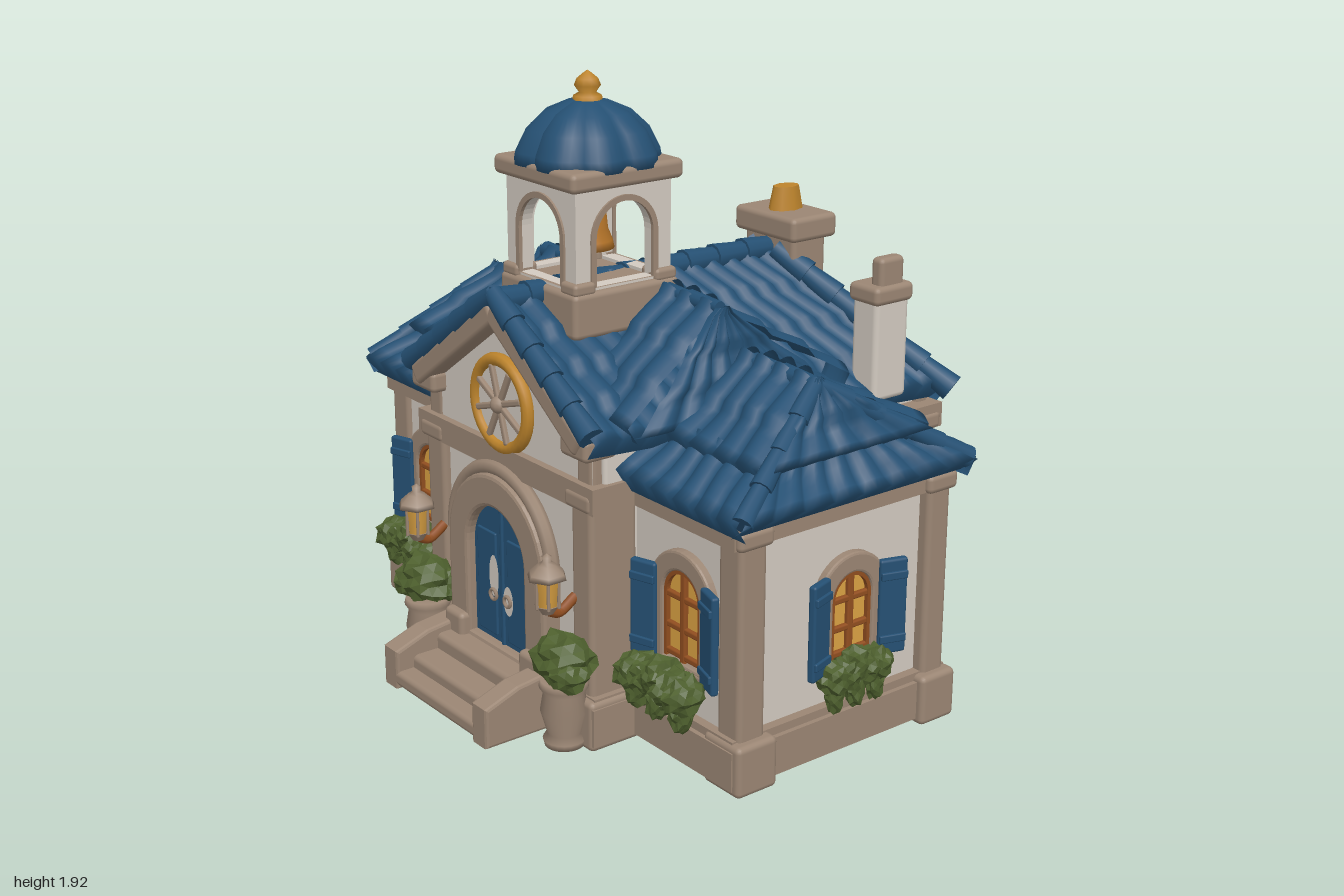
import * as THREE from 'three';
import { RoundedBoxGeometry } from 'three/addons/geometries/RoundedBoxGeometry.js';

const mat = (name, color, side = THREE.FrontSide) => {
  const m = new THREE.MeshStandardMaterial({ color, side });
  m.name = name;
  return m;
};
const stone = mat('stone', 0x9b8674), wall = mat('plaster', 0xd2cac0), blue = mat('blue', 0x255073, THREE.DoubleSide);
const gold = mat('gold', 0xbd842c), glow = mat('window glow', 0xdba243), wood = mat('wood', 0x914e20), green = mat('leaves', 0x4e602e);
const bronze = mat('bronze', 0xb37328);

function add(parent, name, geo, material, x = 0, y = 0, z = 0) {
  const m = new THREE.Mesh(geo, material);
  m.name = name;
  m.position.set(x, y, z);
  parent.add(m);
  return m;
}
const box = (p, name, material, w, h, d, x, y, z) =>
  add(p, name, new RoundedBoxGeometry(w, h, d, 2, Math.min(0.018, w / 3, h / 3, d / 3)), material, x, y, z);
const lathe = (pts, seg = 20) => new THREE.LatheGeometry(pts.map(p => new THREE.Vector2(...p)), seg);
const extrude = (shape, depth, bevel = 0) => new THREE.ExtrudeGeometry(shape, {
  depth, curveSegments: 10, bevelEnabled: bevel > 0, bevelThickness: bevel, bevelSize: bevel, bevelSegments: 2 });
const polygon = pts => new THREE.Shape(pts.map(p => new THREE.Vector2(...p)));
const V = (...a) => new THREE.Vector3(...a);
function group(parent, name, x = 0, y = 0, z = 0, rot = 0) {
  const g = new THREE.Group();
  g.name = name;
  g.position.set(x, y, z);
  g.rotation.y = rot;
  parent.add(g);
  return g;
}

// Round-topped opening standing on y0
function arch(w, h, y0 = 0) {
  const s = new THREE.Shape(), r = w / 2;
  s.moveTo(-r, y0);
  s.lineTo(r, y0);
  s.lineTo(r, y0 + h - r);
  s.absarc(0, y0 + h - r, r, 0, Math.PI, false);
  s.closePath();
  return s;
}
function archFrame(w, h, t) {
  const s = arch(w + 2 * t, h + t);
  s.holes.push(arch(w, h));
  return s;
}

// House footprint, inset by d
function outline(d) {
  const half = [[0.43, 0.53], [0.43, 0.38], [0.875, 0.38], [0.875, -0.4], [0.48, -0.4], [0.48, -0.75]]
    .map(([x, z]) => [x - d, z - Math.sign(z) * d]);
  return [...half, ...half.map(([x, z]) => [-x, z]).reverse()].map(([x, z]) => new THREE.Vector2(x, -z));
}
function ring(p, name, material, outer, inner, y, h) {
  const s = new THREE.Shape(outline(outer));
  s.holes.push(new THREE.Path(outline(inner)));
  add(p, name, extrude(s, h).rotateX(-Math.PI / 2), material, 0, y, 0);
}

// Rippled tile slope: eave a-b, ridge d-c
function slope(p, name, a, b, c, d, cols, rows) {
  let n = b.clone().sub(a).cross(d.clone().sub(a));
  if (n.y < 0) { [a, b, c, d] = [b, a, d, c]; n.negate(); }
  n.normalize();
  const nu = cols * 6, nv = rows * 5, pos = [], idx = [];
  for (let j = -1; j <= nv; j++) for (let i = 0; i <= nu; i++) {
    const u = i / nu, v = Math.max(j, 0) / nv, f = (v * rows) % 1;
    const lift = j < 0 ? -0.045 : 0.022 * Math.abs(Math.sin(Math.PI * u * cols)) + 0.016 * (1 - f) + 0.006 * Math.sin(7 * u + 5 * v);
    const q = a.clone().lerp(b, u).lerp(d.clone().lerp(c, u), v).addScaledVector(n, lift);
    pos.push(q.x, q.y, q.z);
    if (j < nv && i < nu) {
      const k = (j + 1) * (nu + 1) + i, l = k + nu + 1;
      idx.push(k, k + 1, l + 1, k, l + 1, l);
    }
  }
  const g = new THREE.BufferGeometry();
  g.setAttribute('position', new THREE.Float32BufferAttribute(pos, 3));
  g.setIndex(idx);
  g.computeVertexNormals();
  add(p, name, g, blue);
}
// Row of overlapping cap tiles along a roof edge
function caps(p, a, b, r = 0.038) {
  const len = a.distanceTo(b), count = Math.max(2, Math.round(len / 0.12)), dir = b.clone().sub(a).normalize();
  for (let i = 0; i < count; i++) {
    const m = add(p, 'capTile', new THREE.CylinderGeometry(r * 0.85, r * 1.12, len / count * 1.12, 10), blue);
    m.position.copy(a).lerp(b, (i + 0.5) / count);
    m.quaternion.setFromUnitVectors(V(0, 1, 0), dir);
  }
}

// Faceted leafy clump
function leaves(p, x, y, z, sx, sy, sz, seed) {
  const g = new THREE.IcosahedronGeometry(1, 2), q = g.attributes.position, v = V();
  for (let i = 0; i < q.count; i++) {
    v.fromBufferAttribute(q, i);
    v.multiplyScalar(1 + 0.17 * Math.sin(v.x * 7 + seed) * Math.sin(v.y * 8 + seed * 2) + 0.1 * Math.sin(v.z * 9 + seed));
    q.setXYZ(i, v.x * sx, v.y * sy, v.z * sz);
  }
  g.computeVertexNormals();
  add(p, 'leaves', g, green, x, y, z);
}

// Arched window facing +z; a plant depth above 0 adds shutters and hanging plants
function windowAt(p, name, w, h, x, y, z, rot, plant = 0) {
  const g = group(p, name, x, y, z, rot), t = h < 0.2 ? 0.026 : 0.02;
  add(g, 'surround', extrude(archFrame(w, h, 0.045), 0.02, 0.008), stone);
  add(g, 'innerFrame', extrude(archFrame(w - 2 * t, h - t, t), 0.02), wood);
  add(g, 'pane', extrude(arch(w, h), 0.006), glow);
  add(g, 'innerPane', extrude(arch(w, h), 0.006), glow, 0, 0, -0.047);
  box(g, 'mullion', wood, 0.024, h, 0.02, 0, h / 2, 0.01);
  for (const k of h < 0.2 ? [0.5] : [0.08, 0.36, 0.68]) box(g, 'bar', wood, w, 0.02, 0.018, 0, h * k, 0.01);
  box(g, 'sill', stone, w + 0.1, 0.035, 0.045, 0, -0.015, 0.008);
  if (!plant) return;
  for (const s of [-1, 1]) {
    const sh = group(g, 'shutter', s * (w / 2 + 0.058), 0.135, 0.04, -s * 0.3);
    box(sh, 'shutterBoard', blue, 0.09, 0.3, 0.025, 0, 0, 0);
    for (const k of [-1, 1]) box(sh, 'batten', blue, 0.085, 0.025, 0.012, 0, k * 0.1, 0.014);
  }
  const spread = 0.035 + plant * 0.2, deep = 0.025 + plant * 0.45;
  for (let i = -2; i <= 2; i++) {
    leaves(g, i * spread, -0.02 + 0.015 * Math.cos(i * 2), plant, 0.05, 0.055, deep, i + 3);
    if (i % 2 === 0) leaves(g, i * spread * 0.9, -0.09, plant, 0.03, 0.055, deep * 0.6, i + 7);
  }
}

function buildWalls(h) {
  ring(h, 'walls', wall, 0, 0.04, 0.05, 0.78);
  ring(h, 'plinth', stone, -0.045, 0.04, 0.03, 0.12);
  ring(h, 'plinthLip', stone, -0.03, 0.03, 0.15, 0.025);
  ring(h, 'cornice', stone, -0.035, 0.03, 0.755, 0.08);
  for (const s of [-1, 1]) {
    box(h, 'upperWall', wall, 0.04, 0.16, 1.24, s * 0.43, 0.88, -0.11);
    // Corner posts: x, z, width, depth
    for (const [x, z, w, d] of [[0.39, 0.47, 0.1, 0.17], [0.865, 0.345, 0.1, 0.1], [0.865, -0.375, 0.1, 0.09], [0.47, -0.73, 0.07, 0.07]]) {
      box(h, 'cornerPost', stone, w, 0.78, d, s * x, 0.42, z);
      box(h, 'postFoot', stone, w + 0.06, 0.16, d + 0.05, s * x, 0.09, z);
      box(h, 'postHead', stone, w + 0.03, 0.06, d + 0.03, s * x, 0.78, z);
    }
  }
  box(h, 'rearUpperWall', stone, 0.94, 0.1, 0.05, 0, 0.86, -0.74);
  // Front gable
  const gable = polygon([[-0.43, 0.8], [0.43, 0.8], [0.43, 0.96], [0, 1.26], [-0.43, 0.96]]);
  add(h, 'gableWall', extrude(gable, 0.05), wall, 0, 0, 0.49);
  for (const s of [-1, 1]) {
    const b = box(h, 'gableBoard', stone, 0.54, 0.075, 0.09, s * 0.215, 1.11, 0.555);
    b.rotation.z = -s * 0.61;
    box(h, 'gableFoot', stone, 0.13, 0.07, 0.12, s * 0.4, 0.95, 0.53);
    box(h, 'gablePost', stone, 0.08, 0.15, 0.13, s * 0.395, 0.88, 0.48);
  }
}

function buildRoof(h) {
  const rz = 0.03; // wing ridge depth
  for (const s of [-1, 1]) {
    // Main roof with a hipped rear end
    slope(h, 'mainSlope', V(s * 0.49, 0.97, 0.58), V(s * 0.52, 0.89, -0.78), V(0, 1.29, -0.48), V(0, 1.29, 0.58), 14, 4);
    caps(h, V(s * 0.56, 0.9, -0.77), V(s * 0.05, 1.29, -0.48), 0.04);
    caps(h, V(s * 0.47, 1.0, 0.575), V(0, 1.31, 0.575), 0.035);
    // Cross roof end
    slope(h, 'crossEnd', V(s * 0.52, 0.98, 0.45), V(s * 0.52, 0.98, -0.32), V(s * 0.43, 1.28, 0.06), V(s * 0.43, 1.28, 0.1), 6, 3);
    for (const z of [0.47, -0.36])
      slope(h, 'crossSlope', V(0, 1.02, z), V(s * 0.52, 1.0, z), V(s * 0.43, 1.28, 0.08), V(0, 1.28, 0.08), 5, 3);
    // Two-tier hipped wing roof
    for (const k of [-1, 1]) {
      slope(h, 'wingUpper', V(s * 0.4, 0.95, k * 0.32), V(s * 0.9, 0.95, k * 0.32), V(s * 0.79, 1.14, rz), V(s * 0.4, 1.14, rz), 5, 2);
      slope(h, 'wingEave', V(s * 0.4, 0.84, k * 0.45), V(s * 0.97, 0.84, k * 0.45), V(s * 0.88, 0.96, k * 0.26), V(s * 0.4, 0.96, k * 0.26), 6, 1);
      caps(h, V(s * 0.96, 0.86, k * 0.43), V(s * 0.8, 1.13, rz), 0.03);
    }
    slope(h, 'wingHip', V(s * 0.91, 0.95, 0.32), V(s * 0.91, 0.95, -0.32), V(s * 0.79, 1.14, rz - 0.01), V(s * 0.79, 1.14, rz + 0.01), 5, 2);
    slope(h, 'wingHipEave', V(s * 0.97, 0.84, 0.45), V(s * 0.97, 0.84, -0.45), V(s * 0.87, 0.96, -0.27), V(s * 0.87, 0.96, 0.27), 8, 1);
    caps(h, V(s * 0.42, 1.13, rz), V(s * 0.8, 1.13, rz), 0.028);
  }
  slope(h, 'rearHip', V(-0.53, 0.88, -0.78), V(0.53, 0.88, -0.78), V(0.05, 1.29, -0.48), V(-0.05, 1.29, -0.48), 9, 4);
  caps(h, V(0, 1.29, 0.58), V(0, 1.29, -0.5), 0.04);
  caps(h, V(-0.43, 1.28, 0.08), V(0.43, 1.28, 0.08), 0.025);
  // Chimneys
  box(h, 'rearChimney', stone, 0.24, 0.26, 0.14, 0.01, 1.23, -0.55);
  box(h, 'rearChimneyCap', stone, 0.29, 0.08, 0.19, 0.01, 1.37, -0.55);
  const pot = add(h, 'rearChimneyPot', new THREE.CylinderGeometry(0.048, 0.065, 0.08, 8), gold, 0.01, 1.445, -0.55);
  pot.scale.x = 0.7;
  box(h, 'sideChimney', wall, 0.11, 0.34, 0.14, 0.48, 1.07, -0.53);
  box(h, 'sideChimneyCap', stone, 0.13, 0.06, 0.16, 0.48, 1.24, -0.53);
  box(h, 'sideChimneyPot', stone, 0.05, 0.11, 0.1, 0.505, 1.3, -0.53);
}

function buildTower(h) {
  const t = group(h, 'bellTower', 0, 0, 0.23);
  box(t, 'towerBase', stone, 0.39, 0.14, 0.39, 0, 1.25, 0);
  for (let i = 0; i < 4; i++) {
    const g = group(t, 'towerSide', 0, 0, 0, i * Math.PI / 2);
    const s = polygon([[-0.175, 1.31], [0.175, 1.31], [0.175, 1.64], [-0.175, 1.64]]);
    s.holes.push(arch(0.22, 0.25, 1.33));
    add(g, 'archedPanel', extrude(s, 0.045), wall, 0, 0, 0.13);
    add(g, 'archTrim', extrude(archFrame(0.21, 0.245, 0.018), 0.012), stone, 0, 1.33, 0.17);
    box(g, 'towerFoot', stone, 0.08, 0.04, 0.08, 0.15, 1.33, 0.15);
  }
  box(t, 'towerCornice', stone, 0.41, 0.06, 0.41, 0, 1.65, 0);
  // Lobed dome, slightly square at the eave
  const dome = lathe([[0.17, 1.655], [0.212, 1.665], [0.206, 1.7], [0.175, 1.765], [0.125, 1.815], [0.06, 1.845], [0, 1.855]], 64);
  const q = dome.attributes.position;
  for (let i = 0; i < q.count; i++) {
    const x = q.getX(i), z = q.getZ(i), a = Math.atan2(z, x), k = 0.92 + 0.1 * Math.abs(Math.sin(4 * a)) + 0.06 * Math.sin(2 * a) ** 2;
    q.setXYZ(i, x * k, q.getY(i), z * k);
  }
  dome.computeVertexNormals();
  add(t, 'dome', dome, blue);
  add(t, 'finial', lathe([[0.045, 1.835], [0.043, 1.86], [0.026, 1.87], [0.04, 1.89], [0.032, 1.91], [0.014, 1.925], [0, 1.935]], 10), gold);
  add(t, 'bell', lathe([[0, 1.41], [0.06, 1.41], [0.077, 1.4], [0.072, 1.425], [0.058, 1.46], [0.052, 1.52], [0.037, 1.55], [0, 1.56]]), bronze);
  add(t, 'clapper', new THREE.SphereGeometry(0.02, 10, 8), bronze, 0, 1.39, 0);
  box(t, 'bellBeam', wood, 0.28, 0.025, 0.03, 0, 1.57, 0);
}

function buildEntrance(h) {
  // Round window
  const r = group(h, 'roundWindow', -0.01, 0.965, 0.55);
  add(r, 'ring', new THREE.TorusGeometry(0.137, 0.021, 10, 36), gold);
  add(r, 'disc', new THREE.CylinderGeometry(0.13, 0.13, 0.008, 32).rotateX(Math.PI / 2), wall);
  for (let i = 0; i < 4; i++) box(r, 'spoke', stone, 0.25, 0.02, 0.02, 0, 0, 0.008).rotation.z = i * Math.PI / 4 + 0.3;
  add(r, 'hub', new THREE.SphereGeometry(0.028, 12, 8), stone, 0, 0, 0.01);
  // Double door and surround
  const d = group(h, 'frontDoor', -0.01, 0.17, 0.53);
  add(d, 'doorSurround', extrude(archFrame(0.33, 0.48, 0.08), 0.05, 0.012), stone);
  add(d, 'innerSurround', extrude(archFrame(0.33, 0.48, 0.05), 0.02), stone, 0, 0, -0.06);
  add(d, 'doorHood', new THREE.TorusGeometry(0.265, 0.024, 8, 28, Math.PI), stone, 0, 0.325, 0.03);
  add(d, 'doorLeaves', extrude(arch(0.34, 0.485), 0.08), blue, 0, 0, -0.05);
  box(d, 'doorSeam', blue, 0.016, 0.46, 0.015, 0, 0.23, 0.03);
  for (const s of [-1, 1]) {
    box(d, 'doorPanel', blue, 0.1, 0.34, 0.014, s * 0.08, 0.2, 0.03);
    const plate = add(d, 'handlePlate', new THREE.CircleGeometry(0.026, 14), wall, s * 0.038, 0.2 - s * 0.03, 0.0385);
    plate.scale.y = 2.3 - s * 0.4;
    add(d, 'handle', new THREE.TorusGeometry(0.017, 0.006, 6, 12), stone, s * 0.038, 0.17, 0.042);
    box(d, 'surroundFoot', stone, 0.1, 0.1, 0.1, s * 0.205, 0.02, 0.04);
  }
  // Steps
  box(h, 'landing', stone, 0.48, 0.14, 0.14, -0.015, 0.1, 0.6);
  box(h, 'middleStep', stone, 0.48, 0.09, 0.14, -0.015, 0.075, 0.69);
  box(h, 'bottomStep', stone, 0.48, 0.05, 0.12, -0.015, 0.055, 0.76);
  const cheek = polygon([[-0.55, 0.03], [-0.81, 0.03], [-0.81, 0.14], [-0.7, 0.18], [-0.55, 0.2]]);
  for (const s of [-1, 1]) {
    add(h, 'stepCheek', extrude(cheek, 0.06, 0.01).rotateY(Math.PI / 2), stone, s * 0.25 - 0.045, 0, 0);
    // Potted shrubs
    const p = group(h, 'pottedShrub', s * 0.375, 0.02, 0.61);
    add(p, 'pot', lathe([[0, 0], [0.06, 0], [0.065, 0.02], [0.052, 0.04], [0.072, 0.11], [0.062, 0.17], [0.075, 0.19], [0.07, 0.21], [0, 0.2]]), stone);
    leaves(p, 0, 0.275, 0, 0.1, 0.07, 0.09, 2);
    leaves(p, s * 0.055, 0.25, 0.02, 0.06, 0.055, 0.06, 5);
    leaves(p, -s * 0.045, 0.26, -0.04, 0.06, 0.055, 0.07, 8);
    // Wall lanterns
    const l = group(h, 'lantern', s * 0.355, 0.45, 0.65);
    add(l, 'lanternGlass', new THREE.CylinderGeometry(0.042, 0.029, 0.09, 6), glow, 0, 0.06, 0);
    add(l, 'lanternBase', new THREE.CylinderGeometry(0.034, 0.018, 0.025, 6), stone, 0, 0.005, 0);
    add(l, 'lanternRoof', lathe([[0, 0.105], [0.062, 0.105], [0.055, 0.12], [0.028, 0.145], [0.014, 0.155], [0.016, 0.17], [0, 0.18]], 6), stone);
    for (let i = 0; i < 6; i++) box(l, 'lanternBar', stone, 0.009, 0.095, 0.009, 0.037 * Math.sin(i * Math.PI / 3), 0.06, 0.037 * Math.cos(i * Math.PI / 3));
    const arm = new THREE.CatmullRomCurve3([V(0, 0, 0), V(0, -0.015, -0.04), V(0, 0.02, -0.1)]);
    add(l, 'bracket', new THREE.TubeGeometry(arm, 10, 0.016, 6), wood);
  }
}

export function createModel() {
  const h = new THREE.Group();
  h.name = 'house';
  buildWalls(h);
  buildRoof(h);
  buildTower(h);
  buildEntrance(h);
  const Q = Math.PI / 2;
  for (const s of [-1, 1]) {
    windowAt(h, 'frontWindow', 0.18, 0.3, s * 0.665, 0.32, 0.38, 0, 0.1);
    windowAt(h, 'sideWindow', 0.17, 0.28, s * 0.875, 0.3, -0.045, s * Q, 0.045);
    windowAt(h, 'rearSideWindow', 0.09, 0.16, s * 0.48, 0.52, -0.56, s * Q);
  }
  windowAt(h, 'wingRearWindow', 0.1, 0.14, -0.75, 0.3, -0.4, 2 * Q);
  for (const x of [0.36, 0.02]) windowAt(h, 'rearWindow', 0.13, 0.24, x, 0.28, -0.75, 2 * Q);
  for (const x of [0.22, -0.26]) windowAt(h, 'upperRearWindow', 0.1, 0.13, x, 0.64, -0.75, 2 * Q);
  // Back door
  const b = group(h, 'backDoor', -0.3, 0, -0.75, 2 * Q);
  box(b, 'backDoorLeaf', blue, 0.2, 0.42, 0.04, 0, 0.28, 0.01);
  box(b, 'backDoorPane', wood, 0.09, 0.1, 0.008, 0, 0.39, 0.031);
  box(b, 'backDoorGlass', glow, 0.06, 0.07, 0.008, 0, 0.39, 0.034);
  for (const s of [-1, 1]) box(b, 'jamb', stone, 0.05, 0.44, 0.05, s * 0.12, 0.27, 0.012);
  box(b, 'lintel', stone, 0.32, 0.06, 0.06, 0, 0.51, 0.02);
  box(b, 'backStep', stone, 0.32, 0.06, 0.1, 0, 0.06, 0.03);
  return h;
}
